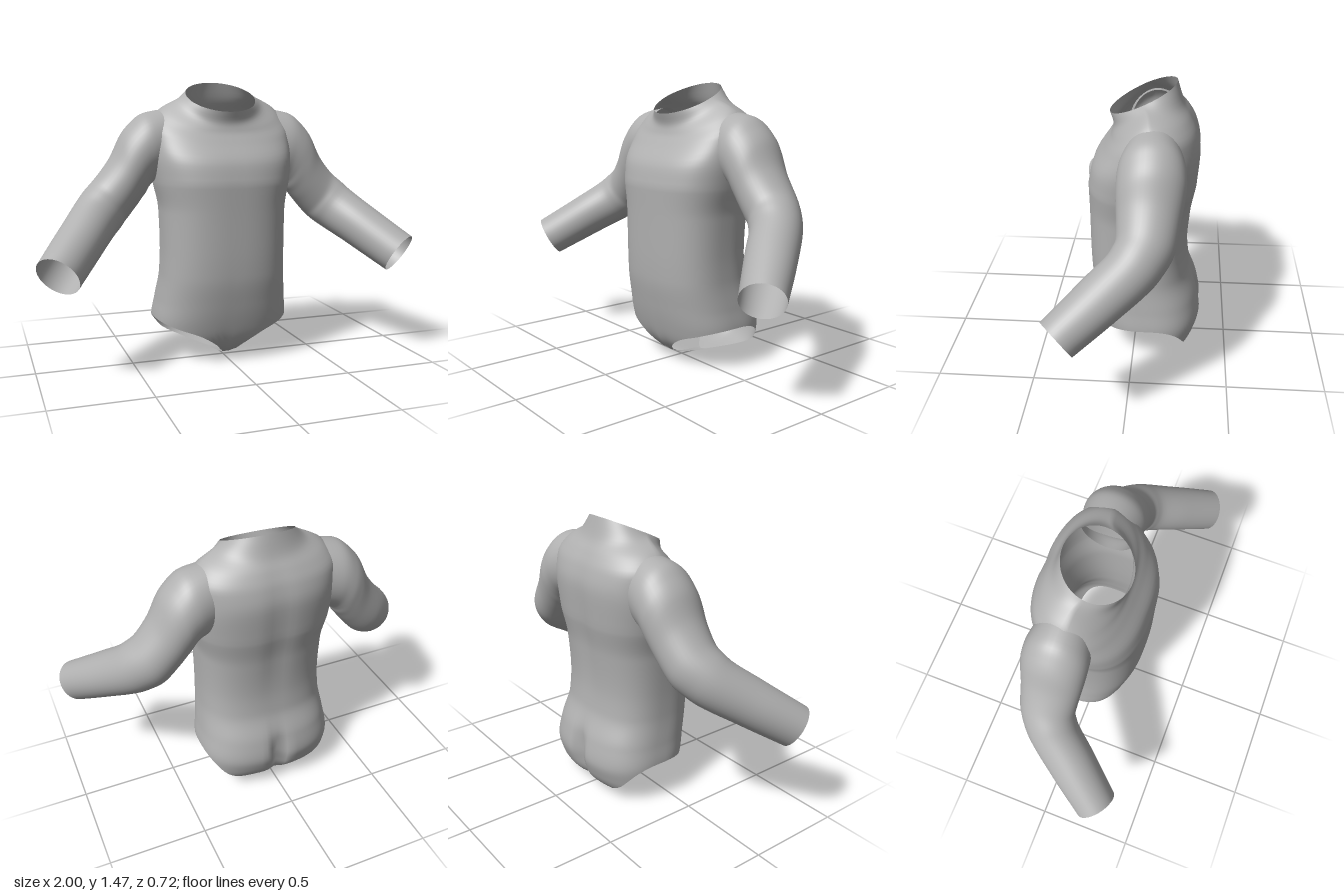
import * as THREE from 'three';

const fabric = new THREE.MeshStandardMaterial({ color: 0xb0b0b0, side: THREE.DoubleSide });
fabric.name = 'grey fabric';

// Smooth interpolation without overshoot; table rows are [key, a, b, ...]
function sample(table, key) {
  const n = table.length;
  const t = Math.min(Math.max(key, table[0][0]), table[n - 1][0]);
  let i = 0;
  while (i < n - 2 && t > table[i + 1][0]) i++;
  const h = table[i + 1][0] - table[i][0], f = (t - table[i][0]) / h;
  return table[i].slice(1).map((_, k) => {
    const slope = (j) => (table[j + 1][k + 1] - table[j][k + 1]) / (table[j + 1][0] - table[j][0]);
    const tangent = (j) => {
      if (j === 0) return slope(0);
      if (j === n - 1) return slope(n - 2);
      const a = slope(j - 1), b = slope(j);
      return a * b <= 0 ? 0 : (2 * a * b) / (a + b);
    };
    const p = table[i][k + 1], q = table[i + 1][k + 1];
    const f2 = f * f, f3 = f2 * f;
    return p * (2 * f3 - 3 * f2 + 1) + q * (3 * f2 - 2 * f3)
      + h * (tangent(i) * (f3 - 2 * f2 + f) + tangent(i + 1) * (f3 - f2));
  });
}

// Surface from a point rule over a grid, optionally closed around
function sheet(name, cols, rows, point, { closed = true, flip = false } = {}) {
  const pos = [], index = [], across = closed ? cols : cols + 1;
  for (let j = 0; j <= rows; j++)
    for (let i = 0; i < across; i++) pos.push(...point(i / cols, j / rows));
  for (let j = 0; j < rows; j++)
    for (let i = 0; i < cols; i++) {
      const n = (i + 1) % across;
      const a = j * across + i, b = j * across + n, c = b + across, d = a + across;
      if (flip) index.push(a, d, b, b, d, c);
      else index.push(a, b, d, b, c, d);
    }
  const g = new THREE.BufferGeometry();
  g.setAttribute('position', new THREE.Float32BufferAttribute(pos, 3));
  g.setIndex(index);
  g.computeVertexNormals();
  const mesh = new THREE.Mesh(g, fabric);
  mesh.name = name;
  return mesh;
}

// Body sections: height, half width, front z, back z
const BODY = [
  [0, 0.35, -0.13, -0.14], [0.03, 0.352, 0.05, -0.235], [0.07, 0.355, 0.11, -0.3],
  [0.13, 0.36, 0.155, -0.335], [0.21, 0.365, 0.182, -0.355], [0.32, 0.35, 0.207, -0.338],
  [0.47, 0.332, 0.23, -0.287], [0.6, 0.328, 0.235, -0.277], [0.8, 0.332, 0.237, -0.29],
  [0.95, 0.36, 0.24, -0.317],
];
// Shoulder to collar: step, half width, then y at front, side and back, z at front and back, roundness
const YOKE = [
  [0, 0.36, 0.95, 0.95, 0.95, 0.24, -0.317, 2.6],
  [1, 0.375, 1.05, 1.1, 1.13, 0.218, -0.33, 2.6],
  [2, 0.375, 1.15, 1.23, 1.23, 0.155, -0.312, 2.5],
  [3, 0.325, 1.21, 1.32, 1.3, 0.12, -0.278, 2.3],
  [4, 0.24, 1.25, 1.37, 1.36, 0.112, -0.24, 2.1],
  [5, 0.185, 1.31, 1.39, 1.465, 0.13, -0.205, 2],
];
// Leg opening height by sideways fraction, front and back
const LEG = [[0, 0.025, 0], [0.06, 0.035, 0.002], [0.24, 0.1, 0.018],
  [0.5, 0.158, 0.052], [0.75, 0.19, 0.102], [1, 0.222, 0.222]];

const rounded = (v, n) => Math.sign(v) * Math.abs(v) ** (2 / n);

function bodyPoint(u, v) {
  const a = u * Math.PI * 2, s = Math.sin(a), c = Math.cos(a), split = 0.68;
  if (v <= split) {
    const sx = rounded(s, 2.6);
    const [front, back] = sample(LEG, Math.abs(sx));
    const edge = c > 0 ? front : back;
    const y = edge + (0.95 - edge) * (v / split) ** 1.3;
    const [w, zf, zb] = sample(BODY, y);
    const x = w * sx;
    let z = (zf + zb) / 2 + ((zf - zb) / 2) * rounded(c, 2.6);
    // Cleft at the seat and a shallow hollow along the spine
    if (c < 0) {
      const cleft = 0.055 * Math.exp(-((x / 0.035) ** 2)) * Math.exp(-(((y - 0.2) / 0.13) ** 2));
      const spine = 0.012 * Math.exp(-((x / 0.06) ** 2)) * THREE.MathUtils.smoothstep(y, 0.4, 0.9);
      z += cleft + spine;
    }
    return [x, y, z];
  }
  const t = ((v - split) / (1 - split)) * 5;
  const [w, yf, ys, yb, zf, zb, n] = sample(YOKE, t);
  const x = w * rounded(s, n);
  const y = ys + ((c > 0 ? yf : yb) - ys) * Math.abs(c);
  let z = (zf + zb) / 2 + ((zf - zb) / 2) * rounded(c, n);
  if (c < 0) z += 0.012 * Math.exp(-((x / 0.06) ** 2)) * (1 - t / 5);
  return [x, y, z];
}

// Sleeve rings: step, centre x y z, upward half axis x y, sideways radius, forward turn
const SLEEVE = [
  [0, 0.27, 1.15, -0.1, -0.01, 0.18, 0.14, 0],
  [1, 0.38, 1.125, -0.1, 0.02, 0.18, 0.163, 0],
  [2, 0.43, 1.085, -0.1, 0.045, 0.165, 0.165, 0],
  [3, 0.47, 1.03, -0.097, 0.06, 0.15, 0.16, 0],
  [4, 0.515, 0.955, -0.092, 0.06, 0.133, 0.15, 0.03],
  [5, 0.585, 0.865, -0.083, 0.07, 0.115, 0.14, 0.15],
  [6, 0.655, 0.795, -0.038, 0.085, 0.1, 0.13, 0.45],
  [7, 0.775, 0.68, 0.115, 0.085, 0.085, 0.12, 0.74],
  [8, 0.905, 0.555, 0.29, 0.08, 0.08, 0.105, 0.76],
];

function sleevePoint(side, u, v) {
  const [cx, cy, cz, ax, ay, r, turn] = sample(SLEEVE, v * 8);
  const a = u * Math.PI * 2, c = Math.cos(a), s = Math.sin(a) * r;
  const lean = Math.sin(turn) * Math.SQRT1_2;
  return [side * (cx + ax * c - lean * s), cy + ay * c + lean * s, cz + Math.cos(turn) * s];
}

// Narrow strip under the body: z, half width, height
const STRIP = [[-0.2, 0.04, 0.012], [-0.14, 0.03, 0], [0, 0.012, 0.014], [0.055, 0.022, 0.033], [0.09, 0.04, 0.055]];

export function createModel() {
  const suit = new THREE.Group();
  suit.name = 'bodysuit';
  suit.add(sheet('body', 96, 72, bodyPoint));
  for (const side of [1, -1])
    suit.add(sheet(side > 0 ? 'leftSleeve' : 'rightSleeve', 40, 48,
      (u, v) => sleevePoint(side, u, v), { flip: side < 0 }));
  suit.add(sheet('crotchStrip', 4, 16, (u, v) => {
    const z = -0.2 + 0.29 * v;
    const [w, y] = sample(STRIP, z);
    return [w * (2 * u - 1), y, z];
  }, { closed: false }));
  return suit;
}
